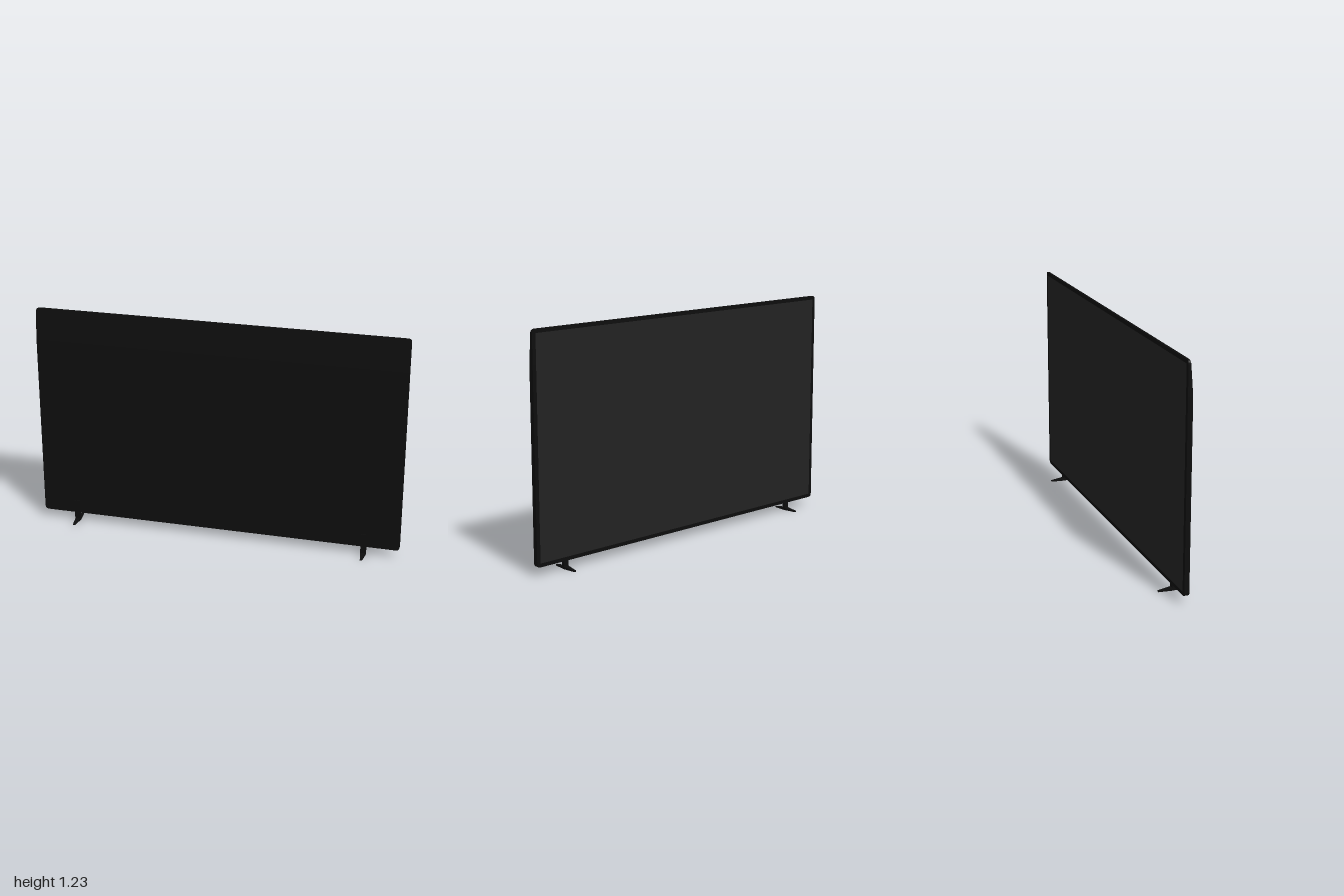
import * as THREE from 'three';

const HALF_W = 1, BOTTOM = 0.048, TOP = 1.23, TAPER_Y = 1.055;
const SCREEN_Z = -0.02, BACK_Z = 0.006, TOP_BACK_Z = -0.008;

// Rectangle with separate radii for its bottom and top corners
function panelShape(halfW, y0, y1, rBottom, rTop) {
  const s = new THREE.Shape();
  s.moveTo(-halfW + rBottom, y0);
  s.lineTo(halfW - rBottom, y0);
  if (rBottom) s.quadraticCurveTo(halfW, y0, halfW, y0 + rBottom);
  s.lineTo(halfW, y1 - rTop);
  if (rTop) s.quadraticCurveTo(halfW, y1, halfW - rTop, y1);
  s.lineTo(-halfW + rTop, y1);
  if (rTop) s.quadraticCurveTo(-halfW, y1, -halfW, y1 - rTop);
  s.lineTo(-halfW, y0 + rBottom);
  if (rBottom) s.quadraticCurveTo(-halfW, y0, -halfW + rBottom, y0);
  return s;
}

// Apply a rule to every vertex, then refresh the normals
function reshape(geometry, rule) {
  const p = geometry.attributes.position;
  const v = new THREE.Vector3();
  for (let i = 0; i < p.count; i++) {
    rule(v.fromBufferAttribute(p, i));
    p.setXYZ(i, v.x, v.y, v.z);
  }
  geometry.computeVertexNormals();
  return geometry;
}

function extrudePanel(shape) {
  const g = new THREE.ExtrudeGeometry(shape, {
    depth: BACK_Z - SCREEN_Z, bevelEnabled: false, curveSegments: 6,
  });
  return g.translate(0, 0, SCREEN_Z);
}

export function createModel() {
  const model = new THREE.Group();
  model.name = 'television';
  const black = new THREE.MeshStandardMaterial({ color: 0x0d0d0d, flatShading: true });
  const glass = new THREE.MeshStandardMaterial({ color: 0x222222 });

  const add = (parent, name, geometry, material) => {
    const mesh = new THREE.Mesh(geometry, material);
    mesh.name = name;
    parent.add(mesh);
    return mesh;
  };

  // Housing: straight lower part and an upper part that thins towards the top
  add(model, 'lowerHousing', extrudePanel(panelShape(HALF_W, BOTTOM, TAPER_Y, 0.02, 0)), black);
  const upper = reshape(extrudePanel(panelShape(HALF_W, TAPER_Y, TOP, 0, 0.02)), (v) => {
    if (v.z > 0) v.z = THREE.MathUtils.mapLinear(v.y, TAPER_Y, TOP, BACK_Z, TOP_BACK_Z);
  });
  add(model, 'upperHousing', upper, black);

  // Display panel inside the narrow bezel, facing -z
  const display = new THREE.ShapeGeometry(
    panelShape(HALF_W - 0.02, BOTTOM + 0.02, TOP - 0.02, 0.004, 0.004));
  display.rotateY(Math.PI);
  add(model, 'display', display, glass).position.z = SCREEN_Z - 0.0008;

  // Two stands: an upright post on a foot that tapers to both ends
  for (const side of [-1, 1]) {
    const stand = new THREE.Group();
    stand.name = side > 0 ? 'leftStand' : 'rightStand';
    stand.position.x = side * 0.808;

    add(stand, 'post', new THREE.BoxGeometry(0.03, 0.115, 0.014), black).position.set(0, 0.0635, 0.004);

    const foot = reshape(new THREE.BoxGeometry(0.03, 0.013, 0.15, 1, 1, 2).translate(0, 0.0065, 0), (v) => {
      const t = Math.abs(v.z) / 0.075;
      v.x *= 1 - 0.6 * t;
      v.y *= 1 - 0.55 * t;
    });
    add(stand, 'foot', foot, black);
    model.add(stand);
  }
  return model;
}
